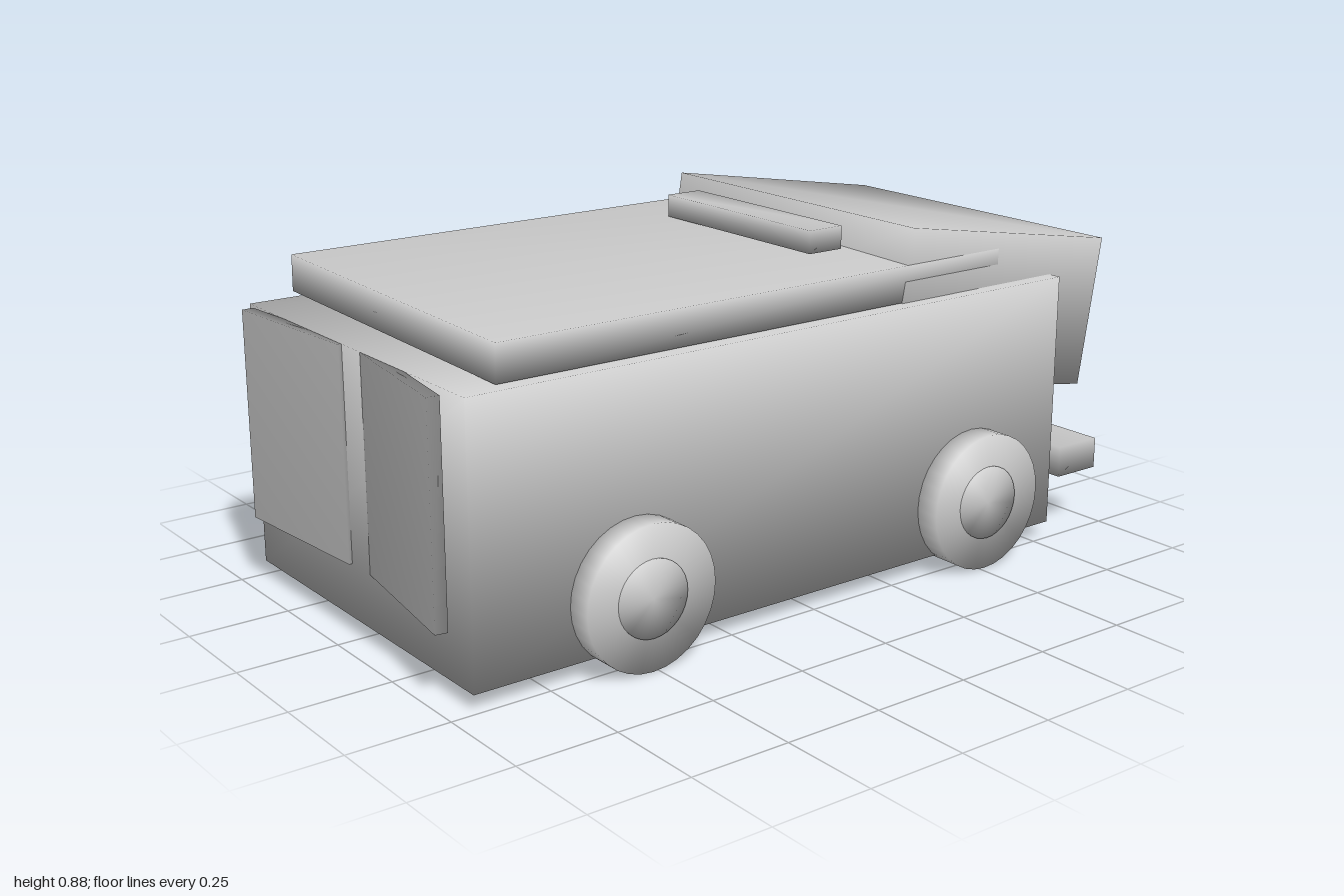
import * as THREE from 'three';
import { mergeVertices } from 'three/addons/utils/BufferGeometryUtils.js';

const material = new THREE.MeshStandardMaterial({ color: 0xcccccc });

// Weld corners so normals run smoothly over every edge
function soften(geometry) {
  geometry.deleteAttribute('uv');
  geometry.deleteAttribute('normal');
  const welded = mergeVertices(geometry, 1e-4);
  welded.computeVertexNormals();
  return welded;
}

function addPart(parent, name, geometry, [x, y, z], [rx, ry, rz] = [0, 0, 0]) {
  const mesh = new THREE.Mesh(soften(geometry), material);
  mesh.name = name;
  mesh.position.set(x, y, z);
  mesh.rotation.set(rx, ry, rz);
  parent.add(mesh);
  return mesh;
}

const box = (w, h, d) => new THREE.BoxGeometry(w, h, d);
const disc = (r, w) => new THREE.CylinderGeometry(r, r, w, 32).rotateZ(Math.PI / 2);

export function createModel() {
  const model = new THREE.Group();
  model.name = 'van';

  // Main shell, with a slightly skewed roof and a tipped cab at the back end
  addPart(model, 'body', box(0.98, 0.655, 1.745), [0, 0.368, 0.065]);
  addPart(model, 'roof', box(0.91, 0.09, 1.46), [0, 0.753, 0.11], [0, 0, -0.024]);
  addPart(model, 'cab', box(0.91, 0.386, 0.679), [0, 0.63, -0.633], [-0.165, 0, 0]);
  addPart(model, 'lightBar', box(0.565, 0.057, 0.1), [0, 0.834, -0.205]);
  addPart(model, 'bumper', box(0.97, 0.08, 0.135), [0, 0.193, -0.917]);

  // Doors standing slightly ajar
  addPart(model, 'rightDoor', box(0.42, 0.52, 0.03), [-0.24, 0.435, 0.947], [0, 0.075, 0]);
  addPart(model, 'leftDoor', box(0.388, 0.52, 0.03), [0.25, 0.435, 0.953], [0, -0.15, 0]);

  // Wheels with raised hubs
  for (const side of [-1, 1]) {
    for (const z of [0.515, -0.515]) {
      const wheel = new THREE.Group();
      wheel.name = (z > 0 ? 'front' : 'rear') + (side > 0 ? 'Left' : 'Right') + 'Wheel';
      wheel.position.set(side * 0.502, 0.175, z);
      addPart(wheel, 'tyre', disc(0.174, 0.105), [0, 0, 0]);
      addPart(wheel, 'hub', disc(0.093, 0.113), [0, 0, 0]);
      model.add(wheel);
    }
  }
  return model;
}
